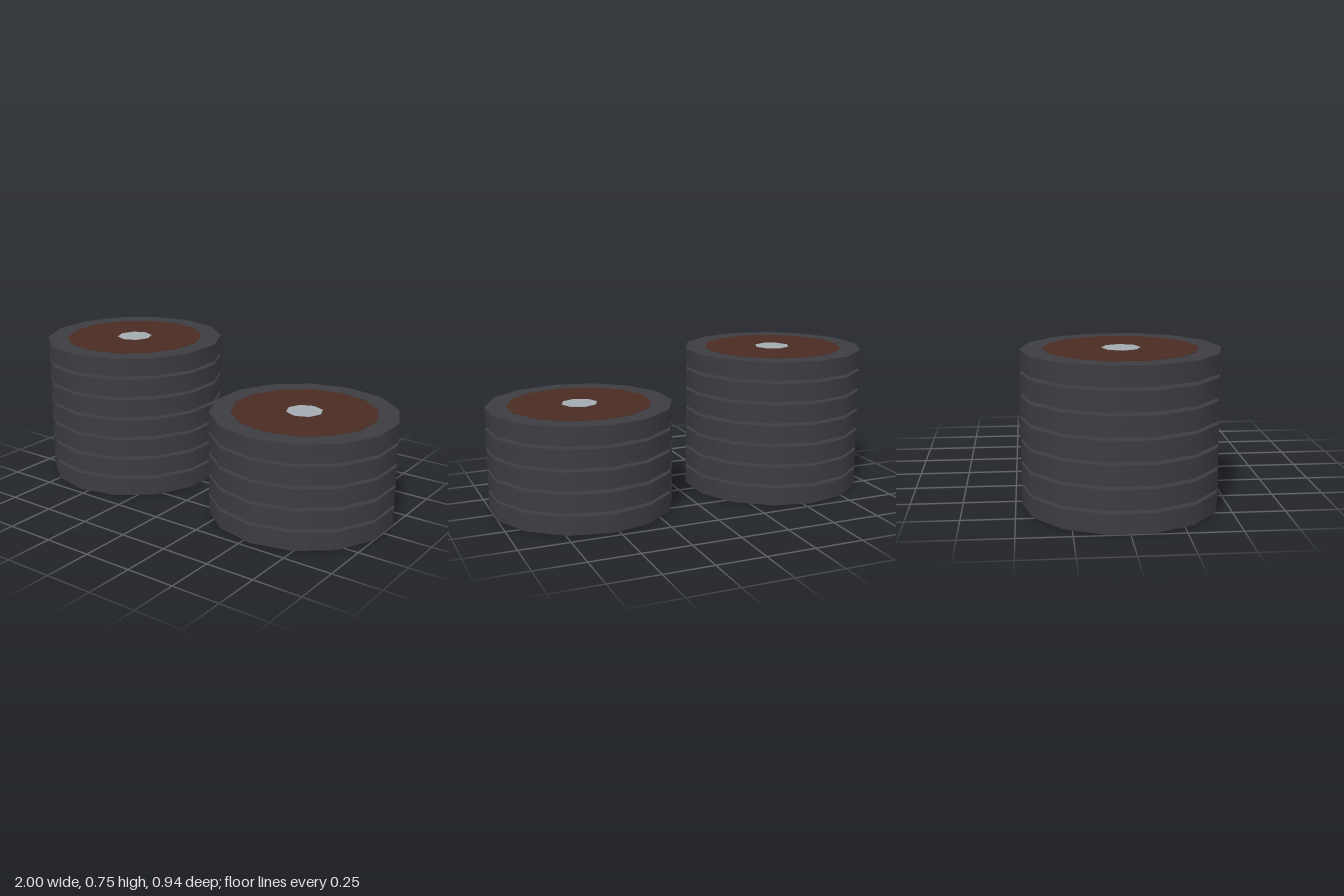
import * as THREE from 'three';

const tyreMat = new THREE.MeshStandardMaterial({ color: 0x3d3c41 });
tyreMat.name = 'dark rubber';
const plateMat = new THREE.MeshStandardMaterial({ color: 0x4a2b22 });
plateMat.name = 'brown plate';
const hubMat = new THREE.MeshStandardMaterial({ color: 0xa3abb1 });
hubMat.name = 'pale metal';

const PITCH = 0.1083; // spacing between stacked discs
const HALF = 0.049; // half height of the hub, the thickest part

const tyreGeo = new THREE.CylinderGeometry(0.47, 0.47, 0.092, 14);
const plateGeo = new THREE.CylinderGeometry(0.364, 0.364, 0.095, 14);
const hubGeo = new THREE.CylinderGeometry(0.092, 0.092, HALF * 2, 8);

function part(name, geometry, material) {
  const mesh = new THREE.Mesh(geometry, material);
  mesh.name = name;
  return mesh;
}

// One weight disc: outer tyre, inset plate and central hub, each slightly prouder
function disc() {
  const g = new THREE.Group();
  g.name = 'disc';
  g.add(
    part('tyre', tyreGeo, tyreMat),
    part('plate', plateGeo, plateMat),
    part('hub', hubGeo, hubMat)
  );
  return g;
}

// Vertical stack of separated discs
function stack(name, x, count) {
  const g = new THREE.Group();
  g.name = name;
  g.position.x = x;
  for (let i = 0; i < count; i++) {
    const d = disc();
    d.position.y = HALF + i * PITCH;
    g.add(d);
  }
  return g;
}

export function createModel() {
  const model = new THREE.Group();
  model.name = 'discStacks';
  model.add(stack('rightStack', -0.542, 7), stack('leftStack', 0.542, 5));
  return model;
}
